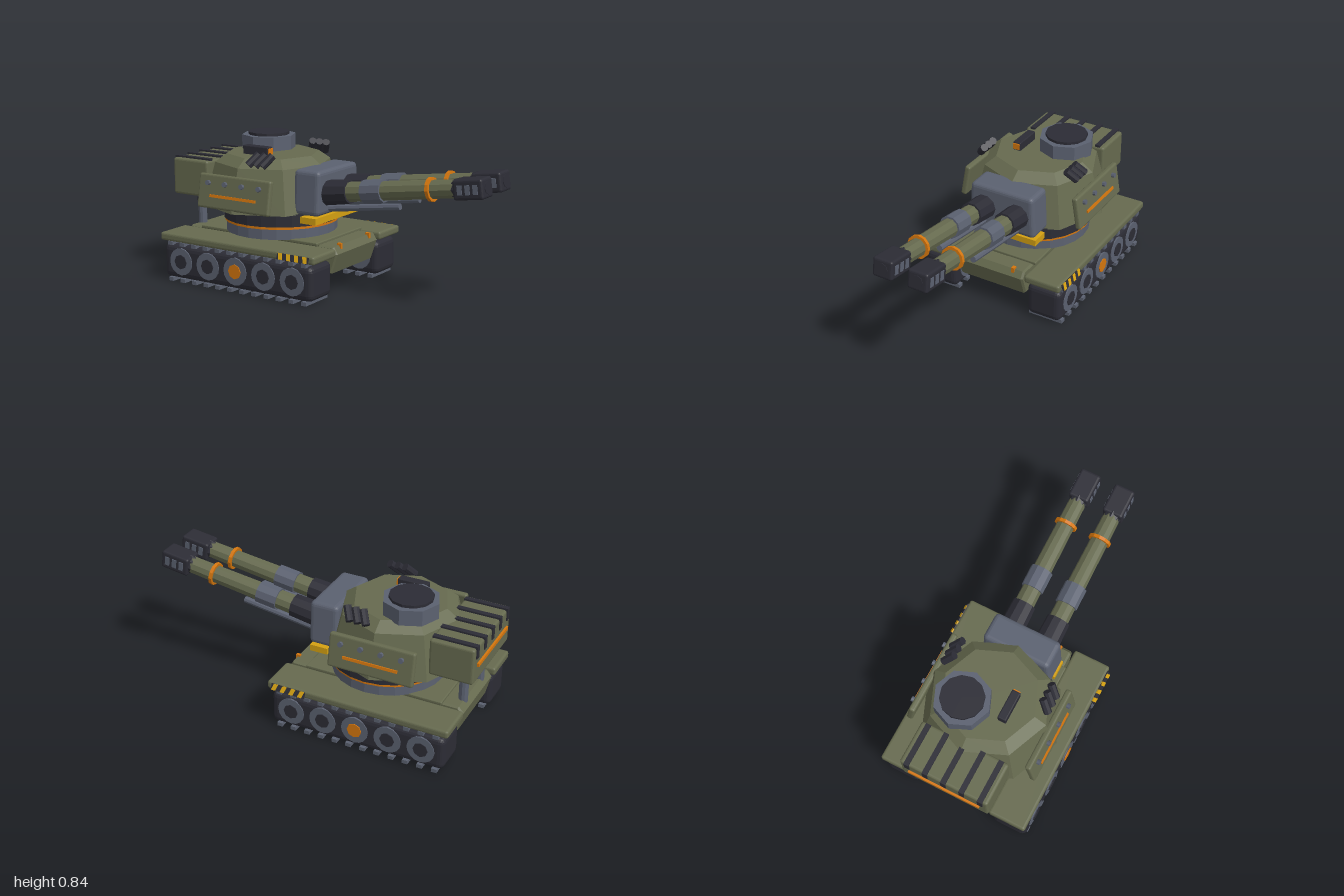
import * as THREE from 'three';
import { RoundedBoxGeometry } from 'three/addons/geometries/RoundedBoxGeometry.js';

const mat = (name, color, flatShading = true) => {
  const m = new THREE.MeshStandardMaterial({ color, flatShading });
  m.name = name;
  return m;
};

export function createModel() {
  const olive = mat('olive armour', 0x666a4f);
  const dark = mat('dark rubber', 0x2c2c35);
  const grey = mat('steel grey', 0x5b6170);
  const orange = mat('orange trim', 0xd4760e);
  const yellow = mat('warning yellow', 0xd4a012);

  const model = new THREE.Group();
  model.name = 'twinGunTank';

  const add = (parent, name, geo, material, x = 0, y = 0, z = 0) => {
    const m = new THREE.Mesh(geo, material);
    m.name = name;
    m.position.set(x, y, z);
    parent.add(m);
    return m;
  };
  const group = (parent, name, x = 0, y = 0, z = 0) => {
    const g = new THREE.Group();
    g.name = name;
    g.position.set(x, y, z);
    parent.add(g);
    return g;
  };
  // box given by its limits, with optional bevel
  const box = (parent, name, material, [x0, x1], [y0, y1], [z0, z1], r = 0) => {
    const s = [x1 - x0, y1 - y0, z1 - z0];
    const geo = r ? new RoundedBoxGeometry(...s, 2, r) : new THREE.BoxGeometry(...s);
    return add(parent, name, geo, material, (x0 + x1) / 2, (y0 + y1) / 2, (z0 + z1) / 2);
  };
  const cylX = (parent, name, material, x0, x1, r0, r1, sides, y = 0) =>
    add(parent, name, new THREE.CylinderGeometry(r1, r0, x1 - x0, sides).rotateZ(-Math.PI / 2),
      material, (x0 + x1) / 2, y, 0);
  const cylY = (parent, name, material, x, z, y0, y1, r, sides) =>
    add(parent, name, new THREE.CylinderGeometry(r, r, y1 - y0, sides), material, x, (y0 + y1) / 2, z);

  // hull with sloped nose, and the deck plate on it
  const profile = new THREE.Shape([
    [-0.9, 0.285], [-0.93, 0.25], [-0.9, 0.13], [0.09, 0.13], [0.13, 0.245], [0.105, 0.285],
  ].map(([x, y]) => new THREE.Vector2(x, y)));
  const hullGeo = new THREE.ExtrudeGeometry(profile, {
    depth: 0.41, bevelEnabled: true, bevelThickness: 0.012, bevelSize: 0.008, bevelOffset: -0.008, bevelSegments: 1,
  });
  add(model, 'hull', hullGeo, olive, 0, 0, -0.205);
  box(model, 'deck', olive, [-0.81, 0.01], [0.28, 0.3], [-0.235, 0.235], 0.006);

  for (const s of [1, -1]) {
    const side = group(model, s > 0 ? 'frontTrack' : 'backTrack', 0, 0, s * 0.3425);
    // track body, tread bars and wheels
    box(side, 'trackBelt', dark, [-0.92, 0.115], [0.02, 0.22], [-0.107, 0.107], 0.035);
    for (let i = 0; i < 12; i++) {
      const x = -0.87 + i * 0.085;
      box(side, 'lowerTread', grey, [x - 0.016, x + 0.016], [0, 0.022], [-0.107, 0.107]);
      box(side, 'upperTread', grey, [x - 0.016, x + 0.016], [0.215, 0.237], [-0.107, 0.107]);
    }
    for (let i = 0; i < 5; i++) {
      const x = -0.79 + i * 0.195;
      add(side, 'wheel', new THREE.CylinderGeometry(0.08, 0.08, 0.224, 16).rotateX(Math.PI / 2), grey, x, 0.125, 0);
      add(side, 'hub', new THREE.CylinderGeometry(0.043, 0.043, 0.234, 8).rotateX(Math.PI / 2),
        i === 2 ? orange : dark, x, 0.125, 0);
    }
    box(side, 'fender', olive, [-0.94, 0.137], [0.237, 0.284], [-0.112, 0.112], 0.014);

    // tilted hazard plate on the fender edge
    const hazard = group(model, 'hazardPlate', 0.003, 0.262, s * 0.462);
    hazard.rotation.x = -s * 0.45;
    box(hazard, 'hazardBase', dark, [-0.103, 0.103], [-0.018, 0.018], [-0.004, 0.004]);
    for (let i = 0; i < 4; i++) {
      const x = -0.1 + i * 0.054;
      const stripe = new THREE.Shape([[x, 0.018], [x + 0.026, 0.018], [x + 0.038, -0.018], [x + 0.012, -0.018]]
        .map(([a, b]) => new THREE.Vector2(Math.min(a, 0.103), b)));
      add(hazard, 'hazardStripe', new THREE.ExtrudeGeometry(stripe, { depth: 0.011, bevelEnabled: false }), yellow, 0, 0, -0.0055);
    }

    // tow pegs on the nose and exhaust stacks at the back
    box(model, 'towPeg', orange, [0.092, 0.118], [0.248, 0.296], [s * 0.147 - 0.009, s * 0.147 + 0.009]);
    cylY(model, 'exhaust', grey, -0.89, s * 0.12, 0.27, 0.425, 0.026, 10);
    cylY(model, 'exhaustCap', dark, -0.89, s * 0.12, 0.42, 0.442, 0.031, 10);
  }

  // turret ring
  cylY(model, 'ringBase', grey, -0.395, 0, 0.295, 0.357, 0.325, 24);
  cylY(model, 'ringTrim', orange, -0.395, 0, 0.355, 0.371, 0.333, 24);
  cylY(model, 'ringCollar', dark, -0.395, 0, 0.37, 0.442, 0.338, 24);

  // eight-sided turret shell
  const turret = group(model, 'turret');
  const shell = [[0, 0.438], [0.405, 0.438], [0.338, 0.69], [0.27, 0.738], [0, 0.738]]
    .map(([r, y]) => new THREE.Vector2(r, y));
  add(turret, 'turretShell', new THREE.LatheGeometry(shell, 8), olive, -0.455);

  // gun mantlet, slightly narrower at the top
  const mantletGeo = new RoundedBoxGeometry(0.17, 0.255, 0.43, 2, 0.025);
  const p = mantletGeo.attributes.position;
  for (let i = 0; i < p.count; i++) p.setZ(i, p.getZ(i) * (0.965 - p.getY(i) * 0.27));
  add(turret, 'mantlet', mantletGeo, grey, -0.083, 0.567, 0);
  box(turret, 'warningBar', yellow, [-0.115, -0.008], [0.395, 0.432], [-0.22, 0.22]);

  // cupola and periscope
  cylY(turret, 'cupola', grey, -0.56, -0.107, 0.73, 0.82, 0.16, 8);
  cylY(turret, 'hatch', dark, -0.56, -0.107, 0.815, 0.836, 0.123, 12);
  box(turret, 'periscope', dark, [-0.56, -0.385], [0.73, 0.788], [0.1, 0.15], 0.006);
  box(turret, 'periscopeLens', orange, [-0.386, -0.378], [0.745, 0.78], [0.105, 0.145]);

  // rear stowage bin with straps
  box(turret, 'stowageBin', olive, [-0.988, -0.735], [0.475, 0.69], [-0.263, 0.263], 0.014);
  for (let i = 0; i < 5; i++) {
    const z = -0.22 + i * 0.11;
    box(turret, 'strap', dark, [-0.992, -0.74], [0.68, 0.7], [z - 0.015, z + 0.015]);
    box(turret, 'strapEnd', dark, [-0.994, -0.98], [0.625, 0.7], [z - 0.015, z + 0.015]);
  }
  box(turret, 'binTrim', orange, [-1, -0.985], [0.57, 0.59], [-0.215, 0.215]);

  for (const s of [1, -1]) {
    // tilted side armour with bolts and trim
    const plate = group(turret, 'sideArmour', -0.455, 0.548, s * 0.368);
    plate.rotation.x = -s * 0.17;
    box(plate, 'armourPlate', olive, [-0.25, 0.25], [-0.098, 0.098], [-0.018, 0.018], 0.012);
    for (let i = 0; i < 4; i++)
      add(plate, 'bolt', new THREE.CylinderGeometry(0.015, 0.015, 0.02, 8).rotateX(Math.PI / 2), grey,
        -0.177 + i * 0.118, 0.047, s * 0.025);
    box(plate, 'armourTrim', orange, [-0.16, 0.16], [-0.033, -0.017], [s * 0.02 - 0.006, s * 0.02 + 0.006]);

    // smoke launchers
    const aim = new THREE.Vector3(0.04, 0.06, -s * 0.05).normalize();
    for (let i = 0; i < 3; i++) {
      const tube = add(turret, 'smokeLauncher', new THREE.CylinderGeometry(0.023, 0.023, 0.088, 8), dark,
        -0.375 + i * 0.047, 0.742, s * 0.293);
      tube.quaternion.setFromUnitVectors(new THREE.Vector3(0, 1, 0), aim);
    }

    // raised gun, built along its own x axis
    const gun = group(turret, 'gun', 0, 0.565, s * 0.107);
    gun.rotation.z = 0.14;
    cylX(gun, 'breechSleeve', dark, -0.03, 0.15, 0.073, 0.068, 10);
    cylX(gun, 'barrel', olive, 0.14, 0.84, 0.057, 0.05, 10);
    cylX(gun, 'barrelSleeve', grey, 0.245, 0.37, 0.066, 0.066, 10);
    cylX(gun, 'barrelRing', orange, 0.658, 0.677, 0.067, 0.067, 12);
    cylX(gun, 'muzzleNeck', dark, 0.805, 0.84, 0.05, 0.058, 8);
    box(gun, 'muzzleBrake', dark, [0.822, 0.998], [-0.055, 0.055], [-0.061, 0.061], 0.014);
    for (let i = 0; i < 3; i++) {
      const x = 0.865 + i * 0.046;
      box(gun, 'muzzleSlot', grey, [x - 0.014, x + 0.014], [-0.026, 0.026], [-0.065, 0.065]);
    }
    cylX(gun, 'muzzleBore', dark, 0.99, 1.001, 0.035, 0.035, 8);
    cylX(gun, 'recoilRod', grey, 0.0, 0.46, 0.019, 0.019, 8, -0.09);
  }
  return model;
}
